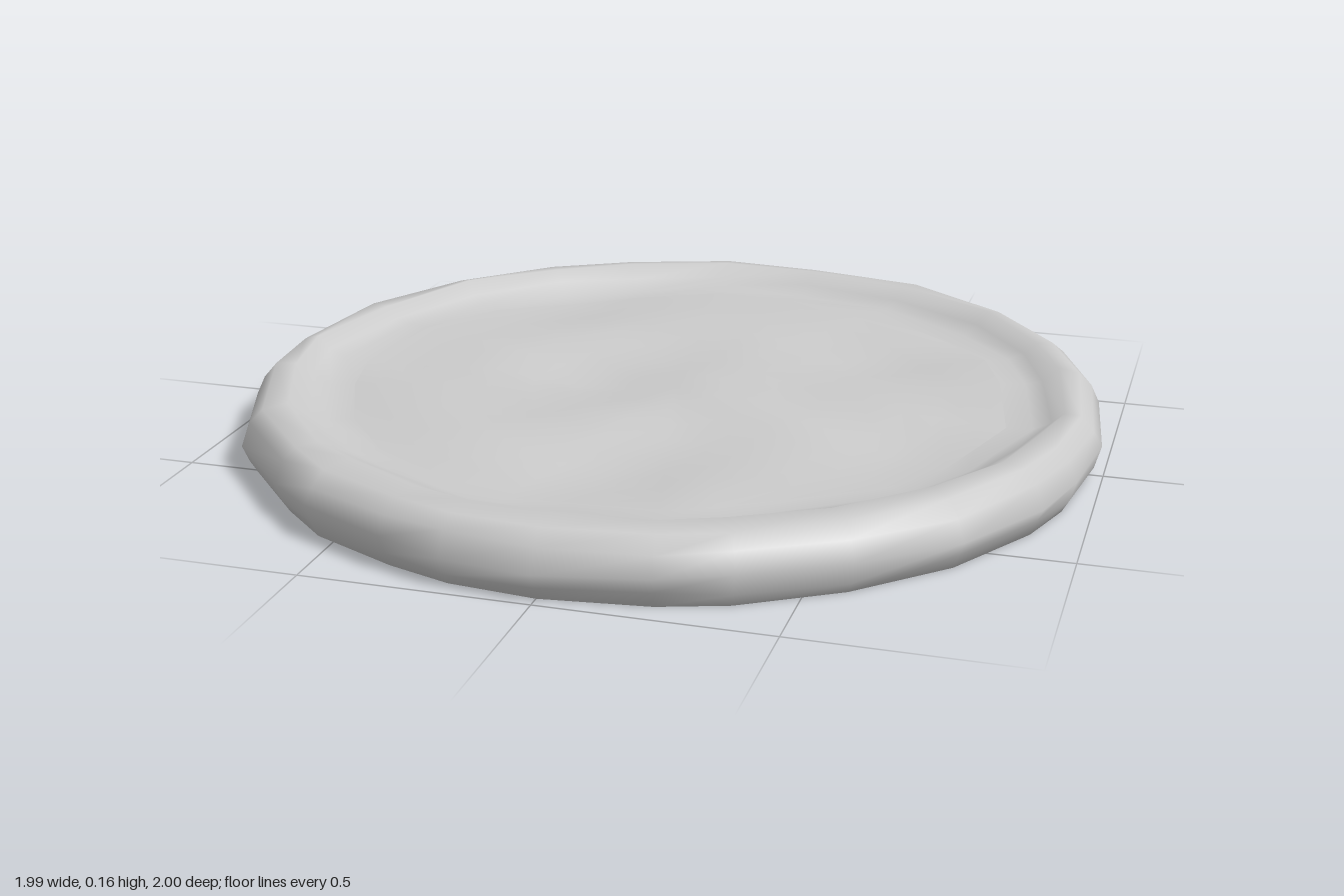
import * as THREE from 'three';
import { mergeVertices } from 'three/addons/utils/BufferGeometryUtils.js';

// Uneven hand-shaped outline as [x, z], starting at the back
const outline = [
  [-0.13, -1], [0.13, -0.98], [0.43, -0.92], [0.69, -0.73], [0.86, -0.51],
  [0.955, -0.29], [0.995, 0.02], [0.965, 0.24], [0.915, 0.39], [0.785, 0.61],
  [0.6, 0.79], [0.39, 0.92], [0.24, 0.97], [0, 1], [-0.2, 0.98],
  [-0.35, 0.93], [-0.56, 0.83], [-0.68, 0.72], [-0.86, 0.52], [-0.98, 0.2],
  [-0.995, 0], [-0.95, -0.33], [-0.8, -0.6], [-0.6, -0.8], [-0.4, -0.91],
];

// Height of the lumpy filling
const fillingHeight = (x, z) => 0.106 +
  0.011 * Math.sin(7 * x + 3 * z) * Math.cos(6 * z - 2 * x) +
  0.009 * Math.sin(13 * x - 5 * z + 1) * Math.sin(11 * z + 2);

// Foot of the crust's inner slope, which is wider at the front than at the back
const innerEdge = (x, z, i) =>
  0.86 - 0.045 * Math.max(0, z) + 0.012 * Math.sin(i * 2.3);

// Ring of the filling at a fraction t of the inner edge
const fillingRing = (t) => (x, z, i) => {
  const s = t * innerEdge(x, z, i);
  return [s, fillingHeight(x * s, z * s)];
};

// Skins rings of scaled outlines; each ring gives [scale, y] for an outline point
function loft(name, rings, material) {
  const positions = [], indices = [], n = outline.length;
  for (const ring of rings) {
    outline.forEach(([x, z], i) => {
      const [s, y] = ring(x, z, i);
      positions.push(x * s, y, z * s);
    });
  }
  for (let r = 0; r < rings.length - 1; r++) {
    for (let i = 0; i < n; i++) {
      const a = r * n + i, b = r * n + (i + 1) % n;
      indices.push(a, a + n, b, b, a + n, b + n);
    }
  }
  let geometry = new THREE.BufferGeometry();
  geometry.setAttribute('position', new THREE.Float32BufferAttribute(positions, 3));
  geometry.setIndex(indices);
  geometry = mergeVertices(geometry, 1e-5);
  geometry.computeVertexNormals();
  const mesh = new THREE.Mesh(geometry, material);
  mesh.name = name;
  return mesh;
}

export function createModel() {
  const group = new THREE.Group();
  group.name = 'flatRoundPie';
  const material = new THREE.MeshStandardMaterial({ color: 0xcccccc });

  // Flat underside
  group.add(loft('base', [() => [0, 0], () => [0.95, 0]], material));

  // Rounded crust, from the underside over the crest and softly into the filling
  group.add(loft('crust', [
    () => [0.95, 0],
    () => [0.97, 0],
    (x, z, i) => [0.985, 0.03 + 0.006 * Math.sin(i * 1.7)],
    (x, z, i) => [1, 0.07 + 0.008 * Math.sin(i * 1.3)],
    (x, z, i) => [0.98, 0.115 + 0.005 * Math.sin(i * 1.9)],
    () => [0.95, 0.145],
    (x, z, i) => [0.5 * innerEdge(x, z, i) + 0.478, 0.151 + 0.005 * Math.sin(i * 2.9)],
    (x, z, i) => [innerEdge(x, z, i) + 0.015, 0.122],
    fillingRing(0.97),
    fillingRing(0.9),
  ], material));

  // Lumpy filling, sunk below the crust
  const steps = [0.9, 0.82, 0.73, 0.63, 0.52, 0.4, 0.28, 0.14, 0];
  group.add(loft('filling', steps.map(fillingRing), material));

  return group;
}
